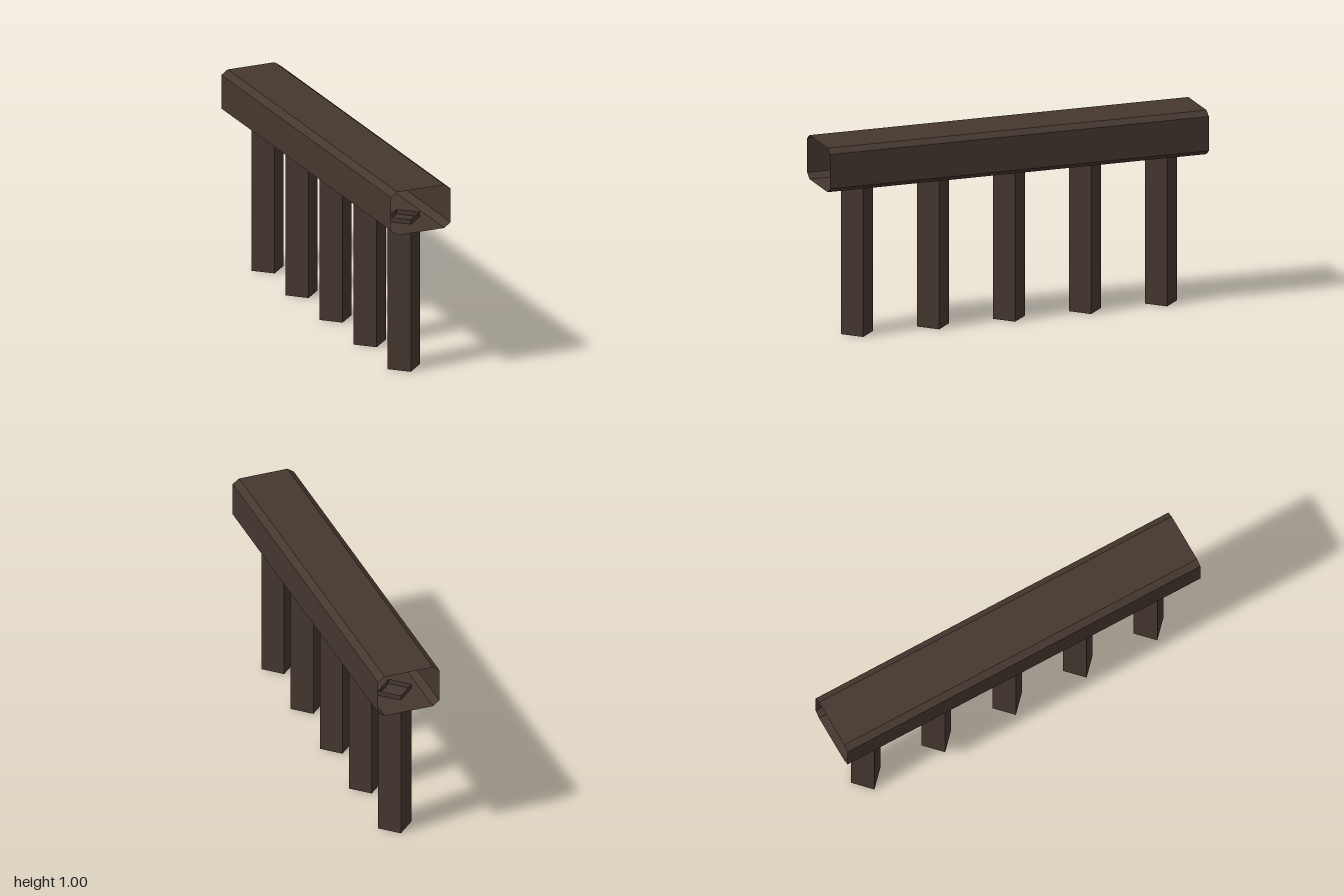
import * as THREE from 'three';

// Open-ended shell: a counter-clockwise outline swept along +z
function openPrism(outline, length) {
  const pos = [];
  outline.forEach((a, i) => {
    const b = outline[(i + 1) % outline.length];
    const a0 = [...a, 0], b0 = [...b, 0], a1 = [...a, length], b1 = [...b, length];
    pos.push(...a0, ...b0, ...b1, ...a0, ...b1, ...a1);
  });
  const geo = new THREE.BufferGeometry();
  geo.setAttribute('position', new THREE.Float32BufferAttribute(pos, 3));
  geo.computeVertexNormals();
  return geo;
}

export function createModel() {
  const wood = new THREE.MeshStandardMaterial({ color: 0x45382f, flatShading: true, side: THREE.DoubleSide });
  wood.name = 'dark wood';
  const model = new THREE.Group();
  model.name = 'railing';

  // Hollow handrail with chamfered corners
  const half = [[0.128, 0.774], [0.162, 0.8], [0.162, 0.976], [0.128, 1]];
  const mirrored = half.map(([x, y]) => [-x, y]).reverse();
  const rail = new THREE.Mesh(openPrism([...half, ...mirrored], 2), wood);
  rail.name = 'handrail';
  rail.position.z = -1;
  model.add(rail);

  // Five hollow diamond posts, ending just inside the rail
  const rx = 0.088, rz = 0.084;
  const postGeo = openPrism([[rx, 0], [0, rz], [-rx, 0], [0, -rz]], 0.8).rotateX(-Math.PI / 2);
  for (let i = 0; i < 5; i++) {
    const post = new THREE.Mesh(postGeo, wood);
    post.name = `post${i + 1}`;
    post.position.z = 0.797 - i * 0.401;
    model.add(post);
  }
  return model;
}
